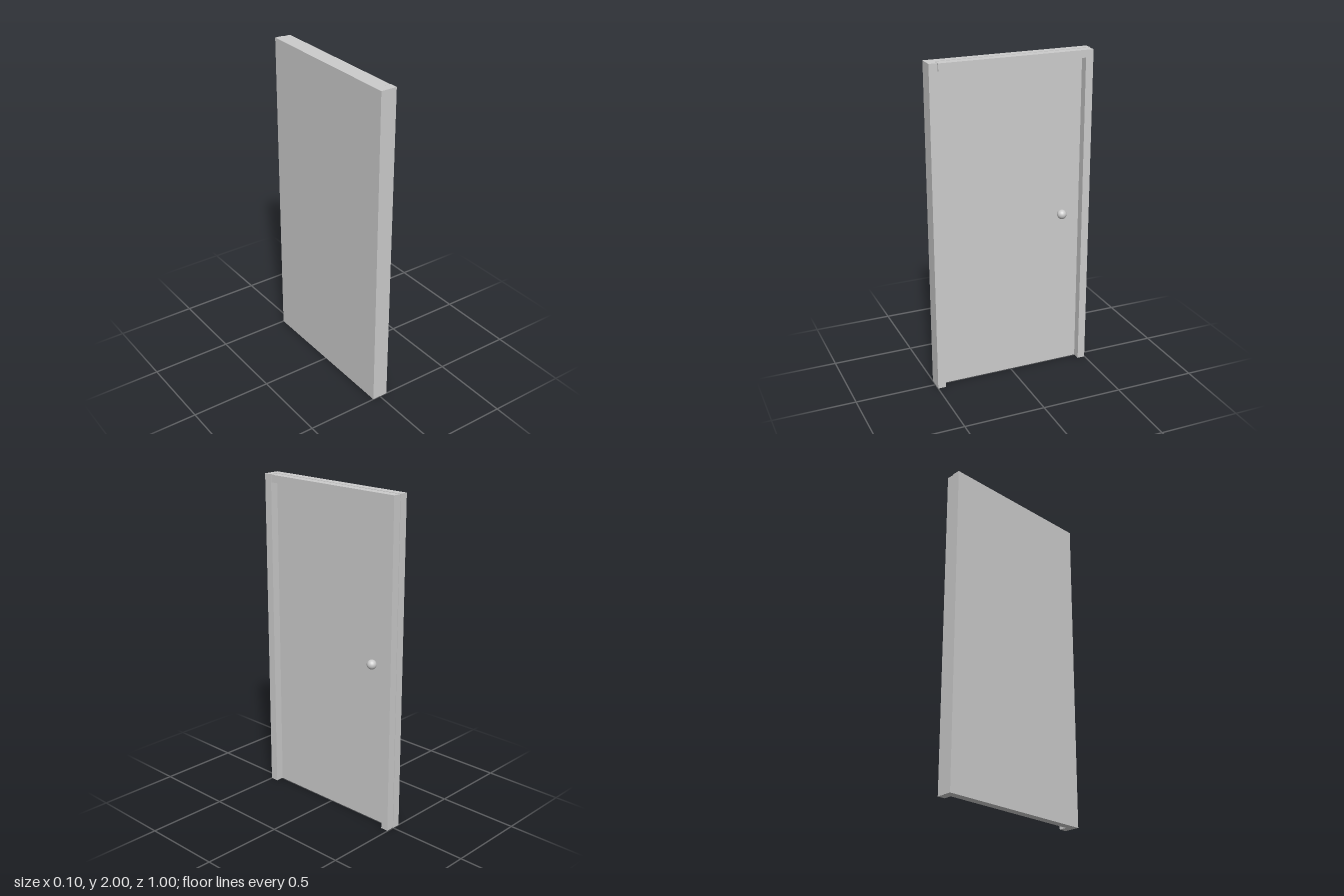
import * as THREE from 'three';

export function createModel() {
  const group = new THREE.Group();
  const grey = new THREE.MeshStandardMaterial({ color: 0xcccccc });
  grey.name = 'light grey';

  // Box given by its limits on each axis
  const slab = (name, [x0, x1], [y0, y1], [z0, z1]) => {
    const mesh = new THREE.Mesh(new THREE.BoxGeometry(x1 - x0, y1 - y0, z1 - z0), grey);
    mesh.position.set((x0 + x1) / 2, (y0 + y1) / 2, (z0 + z1) / 2);
    mesh.name = name;
    group.add(mesh);
  };

  // Full-size door panel
  slab('doorPanel', [-0.05, 0], [0, 2], [-0.5, 0.5]);

  // Hinge-side jamb, separated from the header by a narrow gap
  slab('hingeJamb', [0, 0.05], [0, 2], [0.45, 0.5]);

  // Header and latch-side jamb form one L-shaped piece, slightly inset
  const outline = new THREE.Shape([
    [0.497, 0], [0.497, 1.998], [-0.445, 1.998], [-0.445, 1.953], [0.45, 1.953], [0.45, 0],
  ].map(([u, v]) => new THREE.Vector2(u, v)));
  const frame = new THREE.Mesh(
    new THREE.ExtrudeGeometry(outline, { depth: 0.05, bevelEnabled: false }), grey);
  frame.rotation.y = Math.PI / 2;
  frame.name = 'headerAndLatchJamb';
  group.add(frame);

  // Round knob set against the panel
  const knob = new THREE.Mesh(new THREE.SphereGeometry(0.029, 20, 14), grey);
  knob.position.set(0.02, 1, -0.33);
  knob.name = 'knob';
  group.add(knob);

  return group;
}
